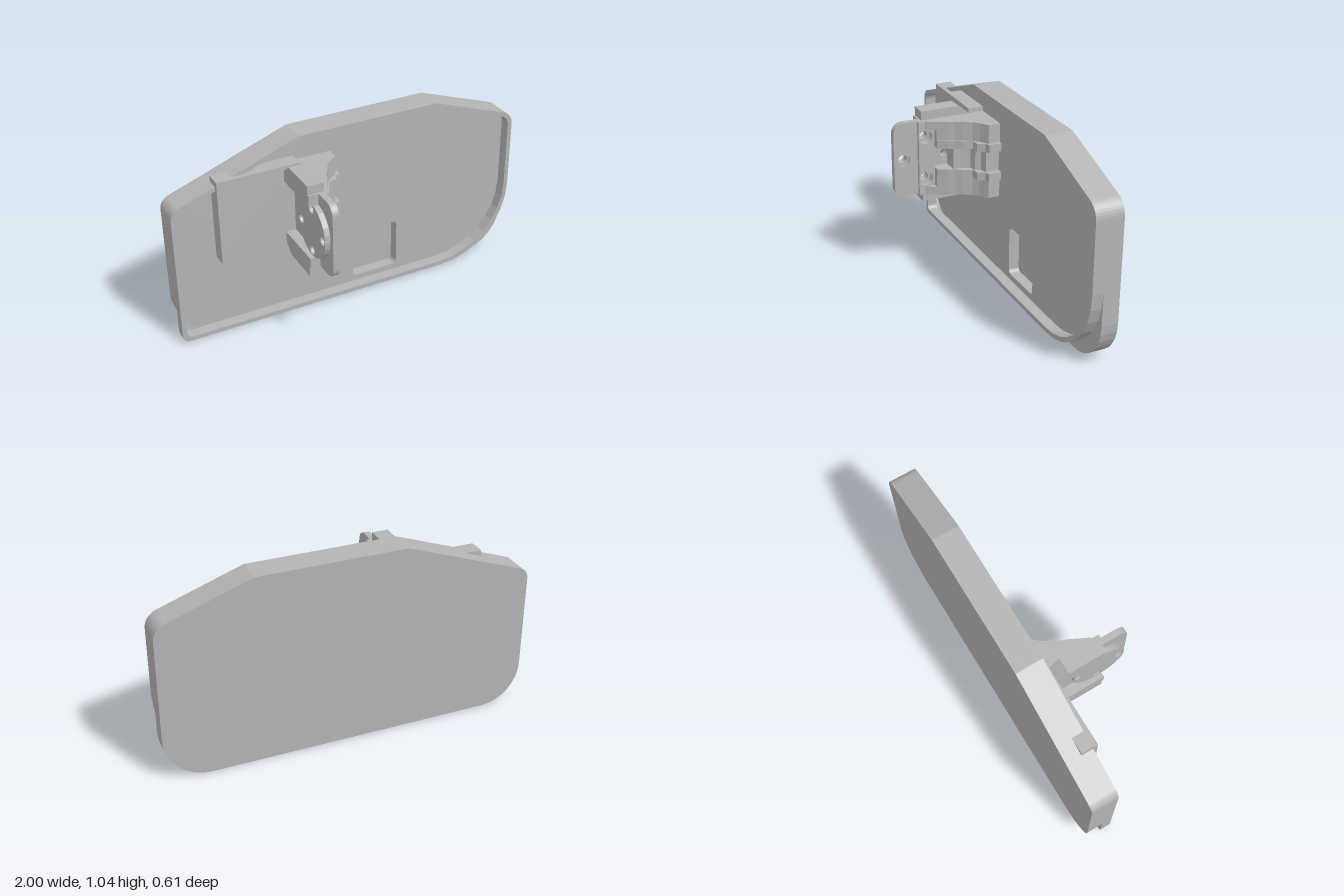
import * as THREE from 'three';

const grey = new THREE.MeshStandardMaterial({ color: 0xb4b4b4 });
grey.name = 'grey plastic';

// Polygon with rounded corners from [x, y, radius] points
function rounded(points, Type = THREE.Shape) {
  const path = new Type();
  const n = points.length;
  points.forEach(([x, y, r = 0], i) => {
    const p = new THREE.Vector2(x, y);
    const dir = (q) => new THREE.Vector2(q[0], q[1]).sub(p).normalize();
    const a = dir(points[(i + n - 1) % n]);
    const b = dir(points[(i + 1) % n]);
    const half = Math.acos(a.dot(b)) / 2;
    const t = r / Math.tan(half);
    const k = t - (4 / 3) * Math.tan((Math.PI - 2 * half) / 4) * r;
    const at = (d, s) => p.clone().addScaledVector(d, s);
    const start = at(a, t);
    if (i === 0) path.moveTo(start.x, start.y);
    else path.lineTo(start.x, start.y);
    if (r > 0) {
      const c1 = at(a, k), c2 = at(b, k), end = at(b, t);
      path.bezierCurveTo(c1.x, c1.y, c2.x, c2.y, end.x, end.y);
    }
  });
  path.closePath();
  return path;
}

const rect = (x0, y0, x1, y1, r, Type) =>
  rounded([[x0, y0, r], [x1, y0, r], [x1, y1, r], [x0, y1, r]], Type);

const extrude = (shape, depth, curveSegments = 8) =>
  new THREE.ExtrudeGeometry(shape, { depth, bevelEnabled: false, curveSegments });

export function createModel() {
  const group = new THREE.Group();
  const add = (name, geometry) => {
    const mesh = new THREE.Mesh(geometry, grey);
    mesh.name = name;
    group.add(mesh);
  };
  // Extrusions along each axis; side profiles use (-z, y), plan profiles use (x, -z)
  const alongZ = (name, shape, z0, z1) => add(name, extrude(shape, z1 - z0).translate(0, 0, z0));
  const alongX = (name, shape, x0, x1) =>
    add(name, extrude(shape, x1 - x0, 12).rotateY(Math.PI / 2).translate(x0, 0, 0));
  const alongY = (name, shape, y0, y1) =>
    add(name, extrude(shape, y1 - y0).rotateX(-Math.PI / 2).translate(0, y0, 0));

  // Housing: closed back and front layer with a square pocket
  const top = [[1, 0.87, 0.09], [0.5, 1.045, 0.02], [-0.3, 1.045, 0.02], [-1, 0.79, 0.07]];
  const body = () => rounded([[-1, 0, 0.22], [1, 0, 0.25], ...top]);
  alongZ('backShell', body(), -0.305, -0.275);
  const floor = body();
  floor.holes.push(rect(0.03, 0.06, 0.305, 0.34, 0.025, THREE.Path));
  alongZ('recessFloor', floor, -0.275, -0.215);

  // Raised rim
  const rim = rounded([[-1, 0, 0.04], [1, 0, 0.43], ...top]);
  rim.holes.push(rounded([
    [-0.975, 0.025, 0.03], [0.975, 0.025, 0.41], [0.975, 0.852, 0.07],
    [0.497, 1.022, 0.01], [-0.296, 1.022, 0.01], [-0.975, 0.773, 0.05],
  ], THREE.Path));
  alongZ('rim', rim, -0.215, -0.155);

  // Block that carries the bracket
  alongZ('mountBlock', rect(-0.76, 0.437, -0.31, 0.91, 0), -0.22, -0.13);

  // Bracket plates, pierced by four screw holes around a common centre
  const cz = 0.13, cy = 0.675, ring = 0.12;
  const pierce = (shape, radius, skip = []) => {
    for (let i = 0; i < 4; i++) {
      if (skip.includes(i)) continue;
      const a = (i * Math.PI) / 2;
      const hole = new THREE.Path();
      hole.absarc(-cz + ring * Math.cos(a), cy + ring * Math.sin(a), radius, 0, Math.PI * 2);
      shape.holes.push(hole);
    }
    return shape;
  };
  const tab = () => rounded([[-0.305, 0.465, 0.06], [0.215, 0.465], [0.215, 0.885], [-0.305, 0.885, 0.06]]);
  alongX('tabPlate', pierce(tab(), 0.024), -0.345, -0.325);
  alongX('tabCounterbore', pierce(tab(), 0.036), -0.325, -0.31);
  const disc = new THREE.Shape();
  disc.absarc(-cz, cy, 0.15, 0, Math.PI * 2);
  alongX('rearBoss', pierce(disc, 0.024), -0.375, -0.345);
  alongX('frontPad', pierce(rect(-0.17, 0.465, -0.08, 0.885, 0), 0.038, [0, 2]), -0.31, -0.29);

  // Side wings with a chamfered inner end, mirrored about the bracket centre
  for (const s of [1, -1]) {
    const wing = [[-0.145, 0.21], [0.13, 0.21], [0.07, 0.26], [-0.145, 0.26]];
    const points = wing.map(([u, v]) => [u, cy + s * v]);
    alongX('wing', rounded(s > 0 ? points : points.reverse()), -0.4, -0.31);
    alongX('wingRoot', rect(-0.155, cy + s * 0.18 - 0.03, 0.155, cy + s * 0.18 + 0.03, 0), -0.4, -0.345);
  }

  // Stepped gusset: two outer cheeks, two raised rails and a set-back centre
  const plan = (points) => {
    const shape = new THREE.Shape();
    points.forEach(([x, z], i) => (i ? shape.lineTo(x, -z) : shape.moveTo(x, -z)));
    return shape;
  };
  const cheek = [[-0.31, -0.215], [-0.1, -0.215], [-0.1, -0.15], [-0.145, -0.12], [-0.175, -0.09],
    [-0.2, -0.04], [-0.22, -0.01], [-0.235, 0.03], [-0.26, 0.08], [-0.31, 0.08]];
  const rail = [[-0.31, -0.215], [-0.08, -0.215], [-0.08, -0.145], [-0.105, -0.135], [-0.125, -0.095],
    [-0.17, -0.09], [-0.19, -0.04], [-0.215, 0], [-0.225, 0.03], [-0.255, 0.08], [-0.31, 0.08]];
  const core = [[-0.31, -0.215], [-0.11, -0.215], [-0.11, -0.14], [-0.15, -0.13], [-0.16, -0.1],
    [-0.2, -0.09], [-0.22, -0.04], [-0.22, 0], [-0.31, 0]];
  for (const s of [1, -1]) {
    const span = (name, points, a, b) =>
      alongY(name, plan(points), Math.min(cy + s * a, cy + s * b), Math.max(cy + s * a, cy + s * b));
    span('gussetCheek', cheek, 0.105, 0.21);
    span('gussetRail', rail, 0.06, 0.105);
    // Thin outer lip beside each screw recess
    span('gussetLip', [[-0.29, 0.08], [-0.26, 0.08], [-0.285, 0.13], [-0.29, 0.13]], 0.165, 0.21);
  }
  alongY('gussetCore', plan(core), cy - 0.06, cy + 0.06);

  return group;
}
